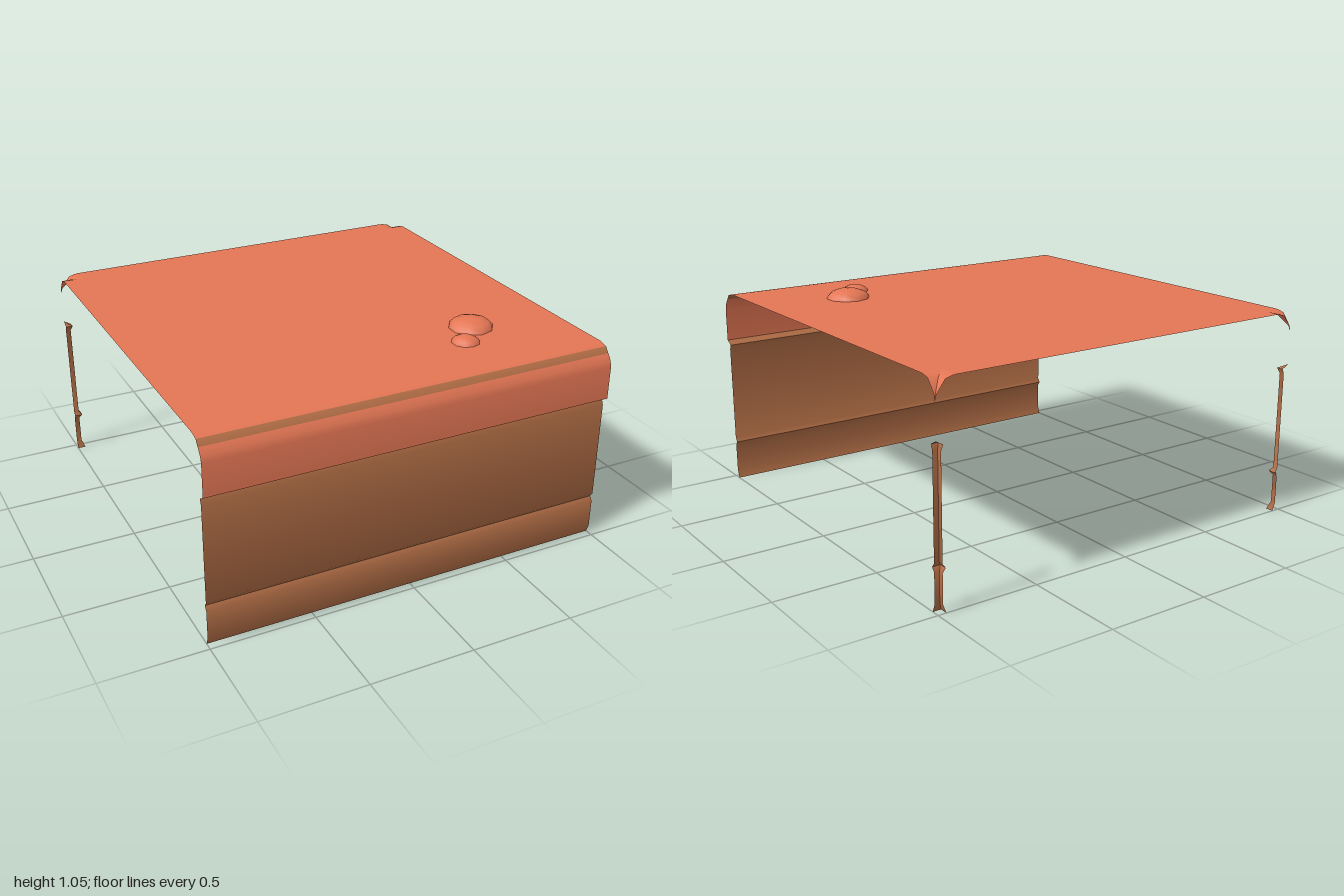
import * as THREE from 'three';

const mat = (name, color) => {
  const m = new THREE.MeshStandardMaterial({ color, side: THREE.DoubleSide });
  m.name = name;
  return m;
};

// Cliff cross-sections, top to bottom: [inset from the tile edge, height]
const LIP = [[0.1, 1], [0.08, 0.998], [0.05, 0.99], [0.029, 0.963], [0.008, 0.935], [0, 0.905], [0, 0.745]];
const LEDGE = [[0, 0.745], [0.035, 0.725]];
const UPPER = [[0.035, 0.725], [0.025, 0.7], [0.025, 0.22], [0.04, 0.2]];
const LOWER = [[0.04, 0.2], [0.025, 0.18], [0.025, 0.04], [0.04, 0]];

// Sweep a cross-section between two ends; a(d) and b(d) give [x, z] for an inset d.
// One material group per row, so single rows can be coloured apart.
function sweep(rows, a, b, [ox, oz], rowMaterial = () => 0) {
  const pos = [], nor = [], idx = [];
  const seg = rows.slice(1).map(([d, y], i) =>
    new THREE.Vector2(rows[i][1] - y, rows[i][0] - d).normalize());
  rows.forEach(([d, y], i) => {
    const n = (seg[i - 1] || seg[i]).clone().add(seg[i] || seg[i - 1]).normalize();
    for (const end of [a, b]) {
      const [x, z] = end(d);
      pos.push(x, y, z);
      nor.push(ox * n.x, n.y, oz * n.x);
    }
  });
  const geo = new THREE.BufferGeometry();
  seg.forEach((_, i) => {
    const k = i * 2;
    idx.push(k, k + 2, k + 3, k, k + 3, k + 1);
    geo.addGroup(i * 6, 6, rowMaterial(i));
  });
  geo.setAttribute('position', new THREE.Float32BufferAttribute(pos, 3));
  geo.setAttribute('normal', new THREE.Float32BufferAttribute(nor, 3));
  geo.setIndex(idx);
  return geo;
}

export function createModel() {
  const model = new THREE.Group();
  model.name = 'cliffTile';
  const clay = mat('clay', 0xe47654);
  const earth = mat('earth', 0xae6b44);
  const add = (name, geo, material, parent = model) => {
    const mesh = new THREE.Mesh(geo, material);
    mesh.name = name;
    parent.add(mesh);
    return mesh;
  };

  // Flat ground at full height, with a small square notch at each back corner
  const n = 1 - LIP[0][0];
  const ground = new THREE.Shape(
    [[-1, -n], [1, -n], [1, n], [n, n], [n, 1], [-n, 1], [-n, n], [-1, n]]
      .map(([x, y]) => new THREE.Vector2(x, y)));
  add('ground', new THREE.ShapeGeometry(ground).rotateX(-Math.PI / 2), clay).position.y = 1;

  // Front cliff: rounded lip with an earth stripe, ledge and two wall courses
  const front = new THREE.Group();
  front.name = 'frontCliff';
  model.add(front);
  const left = d => [-1, 1 - d], right = d => [1, 1 - d];
  add('frontLip', sweep(LIP, left, right, [0, 1], i => (i === 2 ? 1 : 0)), [clay, earth], front);
  for (const [name, rows] of [['ledge', LEDGE], ['upperWall', UPPER], ['lowerWall', LOWER]])
    add(name, sweep(rows, left, right, [0, 1]), earth, front);

  // Back corners: the same cross-section folded into an inner corner
  for (const s of [1, -1]) {
    const corner = new THREE.Group();
    corner.name = s > 0 ? 'leftBackCorner' : 'rightBackCorner';
    model.add(corner);
    const side = d => [s, -1 + d];
    const fold = d => [s * (1 - d), -1 + d];
    const back = d => [s * (1 - d), -1];
    const order = (p, q) => (s > 0 ? [p, q] : [q, p]);
    const parts = [['cornerLip', LIP, clay], ['cornerLedge', LEDGE, earth],
      ['cornerUpperWall', UPPER, earth], ['cornerLowerWall', LOWER, earth]];
    for (const [name, rows, material] of parts) {
      add(name + 'Back', sweep(rows, ...order(side, fold), [0, -1]), material, corner);
      add(name + 'Side', sweep(rows, ...order(fold, back), [s, 0]), material, corner);
    }
  }

  // Two low mounds on the ground
  const mound = (name, x, z, r, base, top) => {
    const h = top - base;
    const profile = [[1, 0], [0.97, 0.3], [0.78, 0.68], [0.42, 0.93], [0, 1]]
      .map(([u, v]) => new THREE.Vector2(u * r, v * h));
    add(name, new THREE.LatheGeometry(profile, 10), clay).position.set(x, base, z);
  };
  mound('largeMound', 0.555, 0.505, 0.108, 0.993, 1.048);
  mound('smallMound', 0.44, 0.642, 0.07, 0.985, 1.032);

  return model;
}
